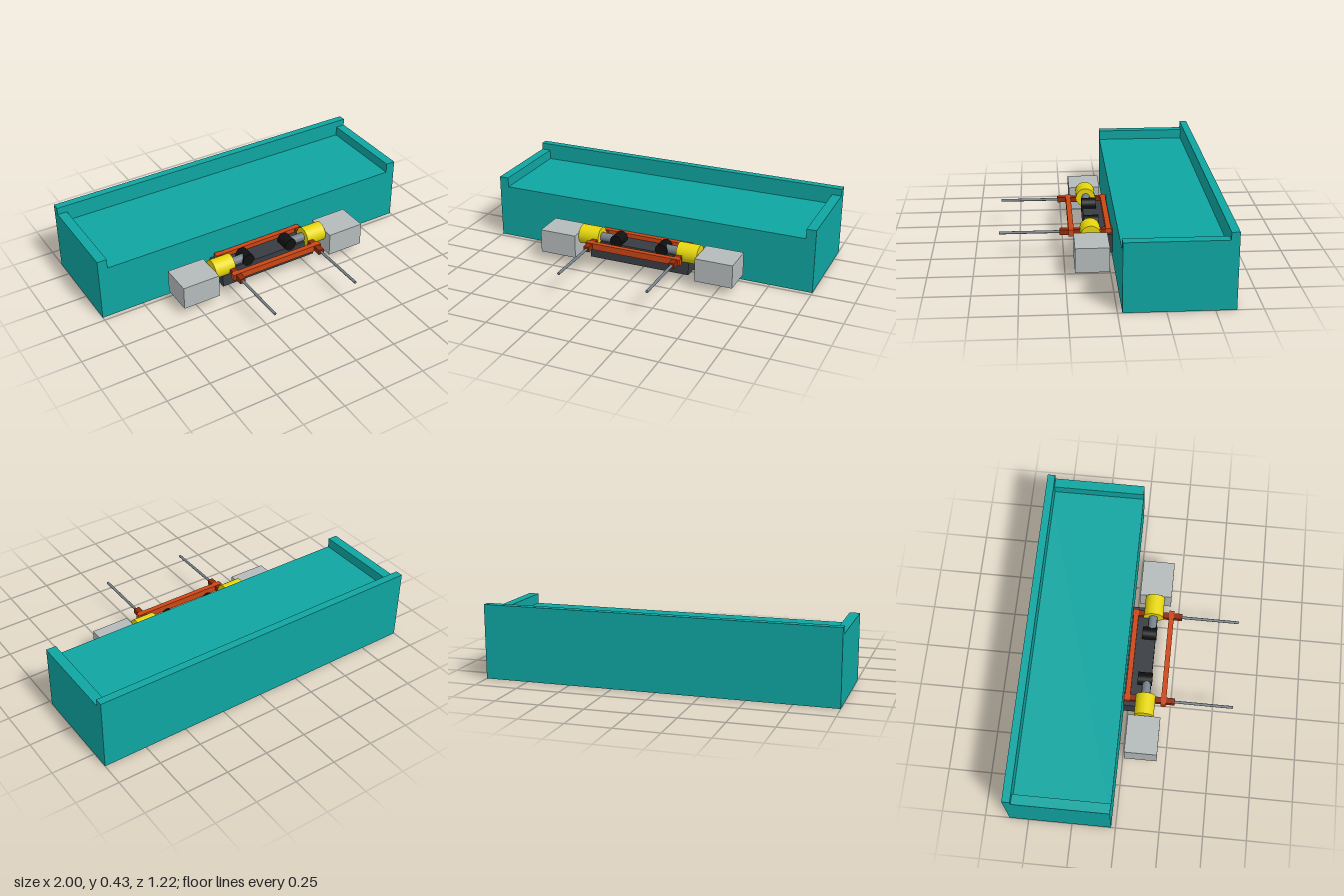
import * as THREE from 'three';

const mat = (name, color) => {
  const m = new THREE.MeshStandardMaterial({ color });
  m.name = name;
  return m;
};

export function createModel() {
  const model = new THREE.Group();
  model.name = 'traywithMechanism';

  const teal = mat('teal', 0x0fa5a1);
  const paleGrey = mat('pale grey', 0xb4baba);
  const yellow = mat('yellow', 0xe6d60c);
  const orange = mat('orange', 0xcc4614);
  const rust = mat('rust', 0x8f2c0c);
  const charcoal = mat('charcoal', 0x383c42);
  const black = mat('black', 0x101010);
  const steel = mat('steel', 0x75808a);

  // Box given by its lower and upper corners
  const box = (name, material, [x0, y0, z0], [x1, y1, z1]) => {
    const mesh = new THREE.Mesh(new THREE.BoxGeometry(x1 - x0, y1 - y0, z1 - z0), material);
    mesh.position.set((x0 + x1) / 2, (y0 + y1) / 2, (z0 + z1) / 2);
    mesh.name = name;
    model.add(mesh);
  };

  // Cylinder lying along the x or z axis
  const cylinder = (name, material, axis, radius, length, position) => {
    const geometry = new THREE.CylinderGeometry(radius, radius, length, 32);
    if (axis === 'x') geometry.rotateZ(Math.PI / 2);
    else geometry.rotateX(Math.PI / 2);
    const mesh = new THREE.Mesh(geometry, material);
    mesh.position.set(...position);
    mesh.name = name;
    model.add(mesh);
  };

  // Long tray body and its raised rear lip
  box('trayBody', teal, [-1, 0, -0.61], [1, 0.325, -0.025]);
  box('rearLip', teal, [-1, 0.325, -0.61], [1, 0.425, -0.565]);

  // Mounting base and cross bars of the frame
  box('mountingBase', charcoal, [-0.31, 0.04, -0.025], [0.31, 0.15, 0.125]);
  box('frontCrossBar', orange, [-0.295, 0.138, 0.192], [0.295, 0.176, 0.222]);
  box('rearCrossBar', orange, [-0.285, 0.145, -0.018], [0.285, 0.176, 0.012]);

  // Mirrored parts
  for (const [label, s] of [['left', 1], ['right', -1]]) {
    const sideBox = (name, material, [x0, y0, z0], [x1, y1, z1]) =>
      box(name, material, [Math.min(s * x0, s * x1), y0, z0], [Math.max(s * x0, s * x1), y1, z1]);

    sideBox(label + 'TrayLip', teal, [0.943, 0.325, -0.565], [1, 0.383, -0.025]);
    sideBox(label + 'Block', paleGrey, [0.375, 0.05, 0.01], [0.6, 0.19, 0.198]);
    sideBox(label + 'FrameRail', rust, [0.248, 0.143, -0.025], [0.282, 0.173, 0.272]);
    cylinder(label + 'Prong', steel, 'z', 0.008, 0.345, [s * 0.265, 0.157, 0.4375]);
    cylinder(label + 'Motor', yellow, 'x', 0.057, 0.126, [s * 0.308, 0.17, 0.101]);
    cylinder(label + 'Shaft', steel, 'x', 0.025, 0.11, [s * 0.195, 0.172, 0.1]);
    cylinder(label + 'Wheel', black, 'z', 0.038, 0.085, [s * 0.143, 0.166, 0.088]);
  }

  return model;
}
